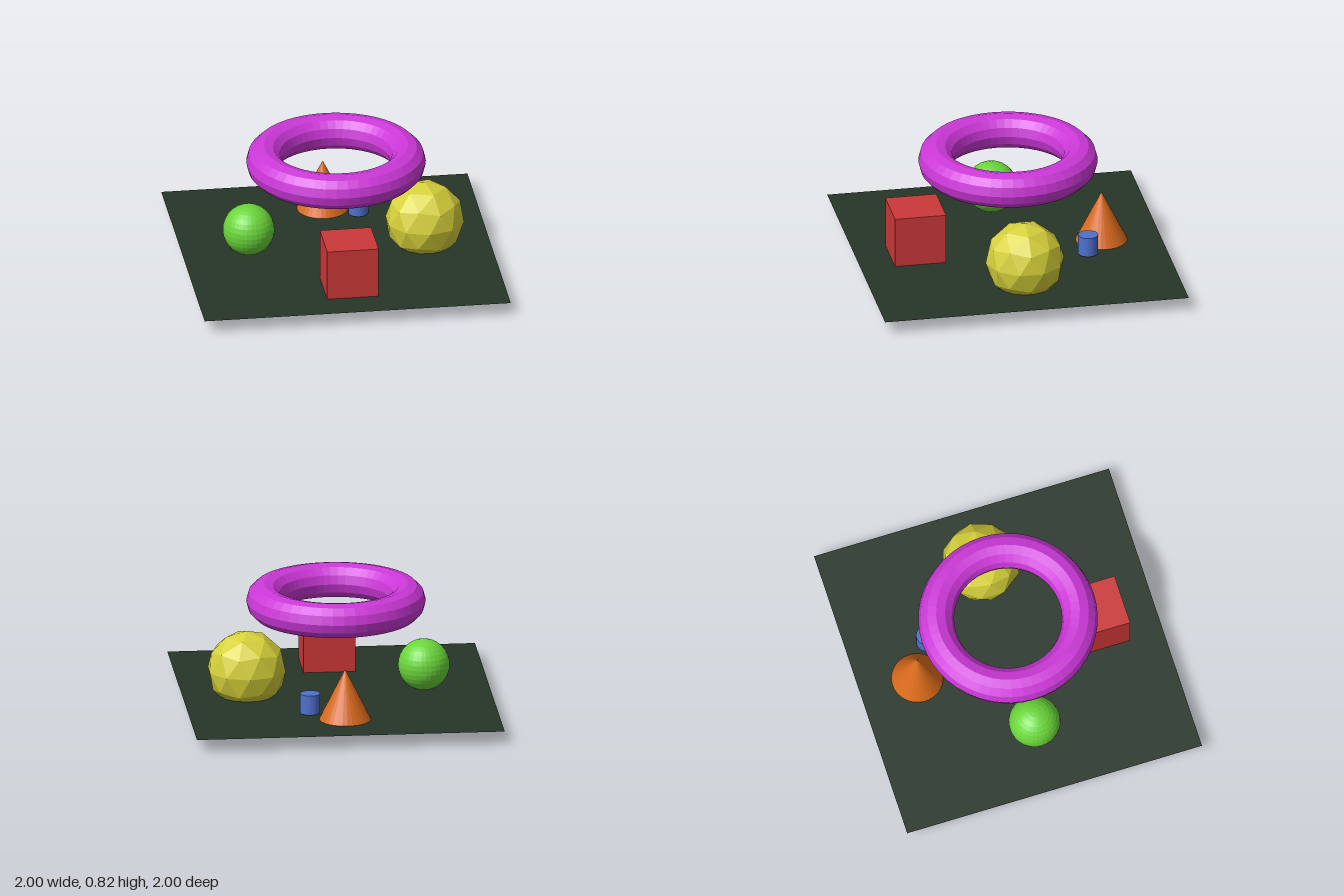
import * as THREE from 'three';

const GROUND = 0.09; // height of the ground sheet
const R = 0.168;     // shared half size of the small shapes

function add(group, name, geometry, color, x, y, z, options = {}) {
  const material = new THREE.MeshStandardMaterial({ color, flatShading: true, ...options });
  const mesh = new THREE.Mesh(geometry, material);
  mesh.name = name;
  mesh.position.set(x, y, z);
  group.add(mesh);
  return mesh;
}

export function createModel() {
  const model = new THREE.Group();
  model.name = 'primitiveShapes';
  const mid = GROUND + R;

  // Thin square ground, visible from both sides
  add(model, 'ground', new THREE.PlaneGeometry(2, 2).rotateX(-Math.PI / 2),
    0x263628, 0, GROUND, 0, { side: THREE.DoubleSide });

  // Shapes around the centre: front, right, back
  add(model, 'cube', new THREE.BoxGeometry(2 * R, 2 * R, 2 * R), 0xcc3838, 0, mid, 0.608);
  add(model, 'sphere', new THREE.SphereGeometry(R, 32, 16), 0x6bd63a, -0.571, mid, 0);
  add(model, 'cone', new THREE.ConeGeometry(R, 2 * R, 32), 0xd96a1c, 0, mid, -0.615);

  // Small cylinder beside the cone
  add(model, 'cylinder', new THREE.CylinderGeometry(0.065, 0.065, 0.13, 32), 0x5070cc, 0.215, 0.165, -0.487);

  // Faceted ball, turned so a corner points straight up; it sinks through the ground
  const tilt = Math.atan(2 / (1 + Math.sqrt(5)));
  add(model, 'facetedBall', new THREE.IcosahedronGeometry(0.258, 1).rotateZ(-tilt),
    0xd6d13a, 0.58, mid, 0);

  // Ring floating above
  add(model, 'ring', new THREE.TorusGeometry(0.465, 0.116, 12, 48).rotateX(-Math.PI / 2),
    0xcc38d8, 0, 0.708, 0);

  return model;
}
